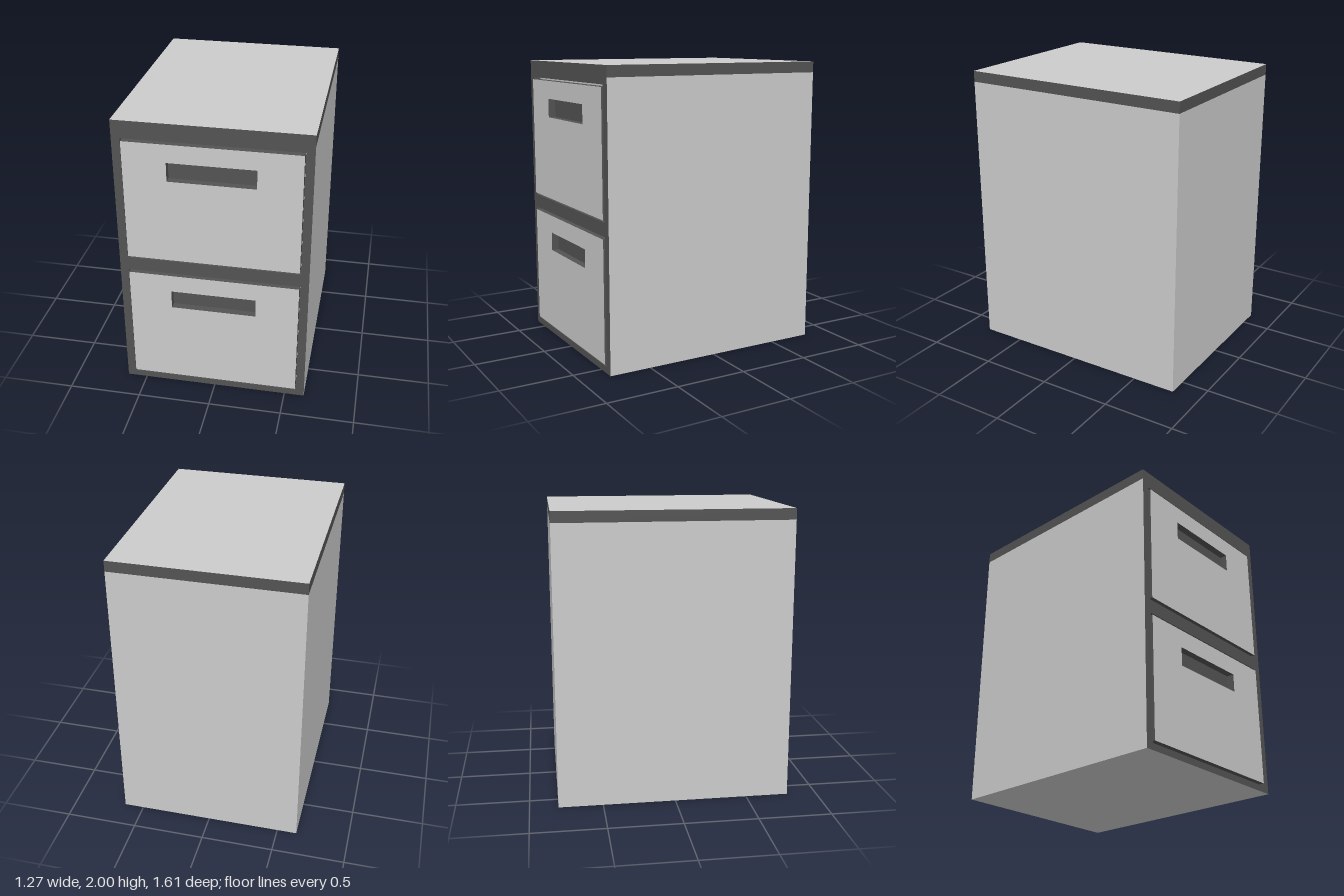
import * as THREE from 'three';

const light = new THREE.MeshStandardMaterial({ color: 0xcccccc });
const dark = new THREE.MeshStandardMaterial({ color: 0x535353 });

const W = 1.274, H = 2, BACK = -0.805, FRONT = 0.795, RECESS = 0.745;
const D = FRONT - BACK, MID = (FRONT + BACK) / 2, BAND = 0.075;

// Flat panel, facing +z before it is turned
function panel(parent, name, w, h, material, [x, y, z], rx = 0, ry = 0) {
  const mesh = new THREE.Mesh(new THREE.PlaneGeometry(w, h), material);
  mesh.name = name;
  mesh.position.set(x, y, z);
  mesh.rotation.set(rx, ry, 0);
  parent.add(mesh);
}

function rectangle(Type, x, y0, y1) {
  return new Type([[-x, y0], [x, y0], [x, y1], [-x, y1]].map(p => new THREE.Vector2(...p)));
}

// Four inward-facing walls of a drawer opening, and its back
function addOpening(parent, x, y0, y1) {
  const h = y1 - y0, d = FRONT - RECESS, z = (FRONT + RECESS) / 2, q = Math.PI / 2;
  panel(parent, 'openingFloor', 2 * x, d, dark, [0, y0, z], -q);
  panel(parent, 'openingCeiling', 2 * x, d, dark, [0, y1, z], q);
  panel(parent, 'openingLeft', d, h, dark, [x, (y0 + y1) / 2, z], 0, -q);
  panel(parent, 'openingRight', d, h, dark, [-x, (y0 + y1) / 2, z], 0, q);
  panel(parent, 'openingBack', 2 * x, h, light, [0, (y0 + y1) / 2, RECESS]);
}

// Drawer front with a recessed grip
function addDrawer(parent, y0, y1) {
  const drawer = new THREE.Group();
  drawer.name = 'drawer';
  const g0 = y1 - 0.255, g1 = y1 - 0.125;
  const shape = rectangle(THREE.Shape, 0.575, y0, y1);
  shape.holes.push(rectangle(THREE.Path, 0.288, g0, g1));
  const geometry = new THREE.ExtrudeGeometry(shape, { depth: 0.055, bevelEnabled: false });
  const front = new THREE.Mesh(geometry, [light, dark]);
  front.name = 'drawerFront';
  front.position.z = 0.75;
  drawer.add(front);
  panel(drawer, 'gripBack', 0.576, g1 - g0, dark, [0, (g0 + g1) / 2, 0.755]);
  parent.add(drawer);
}

export function createModel() {
  const cabinet = new THREE.Group();
  cabinet.name = 'filingCabinet';

  // Outer casing with a dark band below the top
  const casing = new THREE.Group();
  casing.name = 'casing';
  cabinet.add(casing);
  const q = Math.PI / 2;
  const strips = [['Wall', H - BAND, (H - BAND) / 2, light], ['TopBand', BAND, H - BAND / 2, dark]];
  for (const [part, h, y, material] of strips) {
    panel(casing, 'left' + part, D, h, material, [W / 2, y, MID], 0, q);
    panel(casing, 'right' + part, D, h, material, [-W / 2, y, MID], 0, -q);
    panel(casing, 'back' + part, W, h, material, [0, y, BACK], 0, Math.PI);
  }
  panel(casing, 'top', W, D, light, [0, H, MID], -q);
  panel(casing, 'bottom', W, D, light, [0, 0, MID], q);

  // Front frame, its two openings and the drawers in them
  const frameShape = rectangle(THREE.Shape, W / 2, 0, H);
  for (const y of [0.045, 1.01]) {
    frameShape.holes.push(rectangle(THREE.Path, 0.58, y, y + 0.87));
    addOpening(cabinet, 0.58, y, y + 0.87);
    addDrawer(cabinet, y + 0.015, y + 0.855);
  }
  const frame = new THREE.Mesh(new THREE.ShapeGeometry(frameShape), dark);
  frame.name = 'frontFrame';
  frame.position.z = FRONT;
  cabinet.add(frame);

  return cabinet;
}
